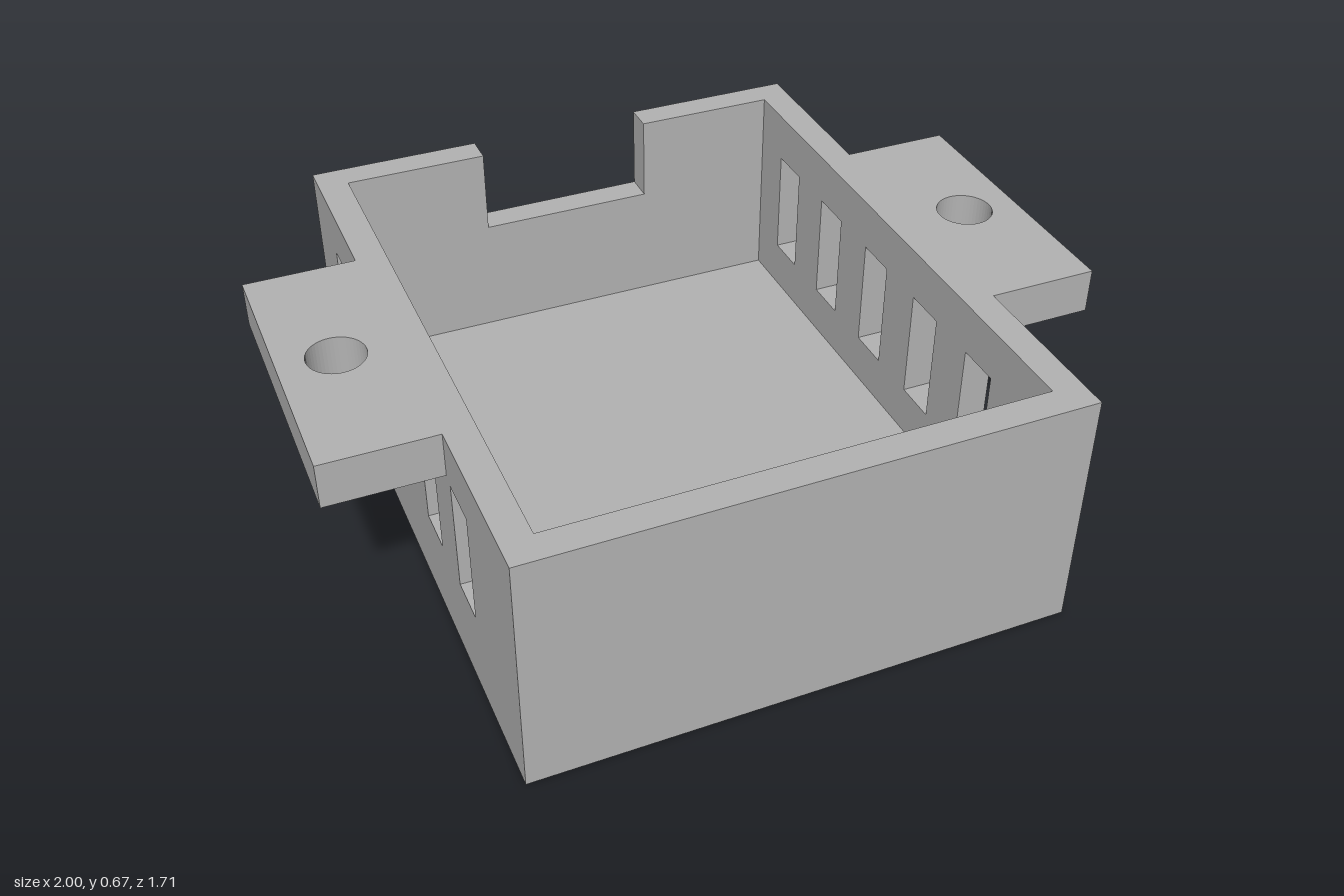
import * as THREE from 'three';

const W = 0.71, D = 0.855, H = 0.665; // half width, half depth, height
const T = 0.08, FLOOR = 0.1;          // wall and floor thickness

const grey = new THREE.MeshStandardMaterial({ color: 0xb2b2b2 });
grey.name = 'grey plastic';

// Closed outline from [x, y] pairs
const points = (list) => list.map(([x, y]) => new THREE.Vector2(x, y));
const rect = (x0, x1, y0, y1) => points([[x0, y0], [x1, y0], [x1, y1], [x0, y1]]);

function extrude(shape, depth) {
  return new THREE.ExtrudeGeometry(shape, { depth, bevelEnabled: false, curveSegments: 24 });
}

export function createModel() {
  const model = new THREE.Group();
  model.name = 'ventedEnclosure';

  const add = (name, geometry) => {
    const mesh = new THREE.Mesh(geometry, grey);
    mesh.name = name;
    model.add(mesh);
    return mesh;
  };
  const box = (name, x0, x1, y0, y1, z0, z1) =>
    add(name, new THREE.BoxGeometry(x1 - x0, y1 - y0, z1 - z0))
      .position.set((x0 + x1) / 2, (y0 + y1) / 2, (z0 + z1) / 2);

  // Floor and plain front wall
  box('floor', -W + T, W - T, 0, FLOOR, -D + T, D - T);
  box('frontWall', -W + T, W - T, 0, H, D - T, D);

  // Back wall with a cable notch in its top edge
  const back = new THREE.Shape(points([
    [-W + T, 0], [W - T, 0], [W - T, H], [0.243, H],
    [0.243, 0.43], [-0.243, 0.43], [-0.243, H], [-W + T, H],
  ]));
  add('backWall', extrude(back, T)).position.z = -D;

  for (const side of [1, -1]) {
    const label = side > 0 ? 'left' : 'right';

    // Side wall with five ventilation slots
    const wall = new THREE.Shape(rect(-D, D, 0, H));
    for (let i = -2; i <= 2; i++) {
      const z = -0.058 + i * 0.265;
      wall.holes.push(new THREE.Path(rect(z - 0.06, z + 0.06, 0.23, 0.533)));
    }
    add(label + 'Wall', extrude(wall, T).rotateY(-Math.PI / 2))
      .position.x = side > 0 ? W : -W + T;

    // Mounting ear with a screw hole
    const ear = new THREE.Shape(side > 0 ? rect(W, 1, -0.385, 0.385) : rect(-1, -W, -0.385, 0.385));
    const hole = new THREE.Path();
    hole.absarc(side * 0.855, 0, 0.074, 0, Math.PI * 2, true);
    ear.holes.push(hole);
    add(label + 'MountingEar', extrude(ear, 0.12).rotateX(Math.PI / 2)).position.y = H;

    // Raised block in the front inner corner
    const [a, b] = side > 0 ? [0.485, W - T] : [-W + T, -0.485];
    box(label + 'CornerBlock', a, b, FLOOR, 0.28, 0.71, D - T);
  }

  // Low ledge between the corner blocks
  box('frontLedge', -0.485, 0.485, FLOOR, 0.163, 0.71, D - T);

  return model;
}
